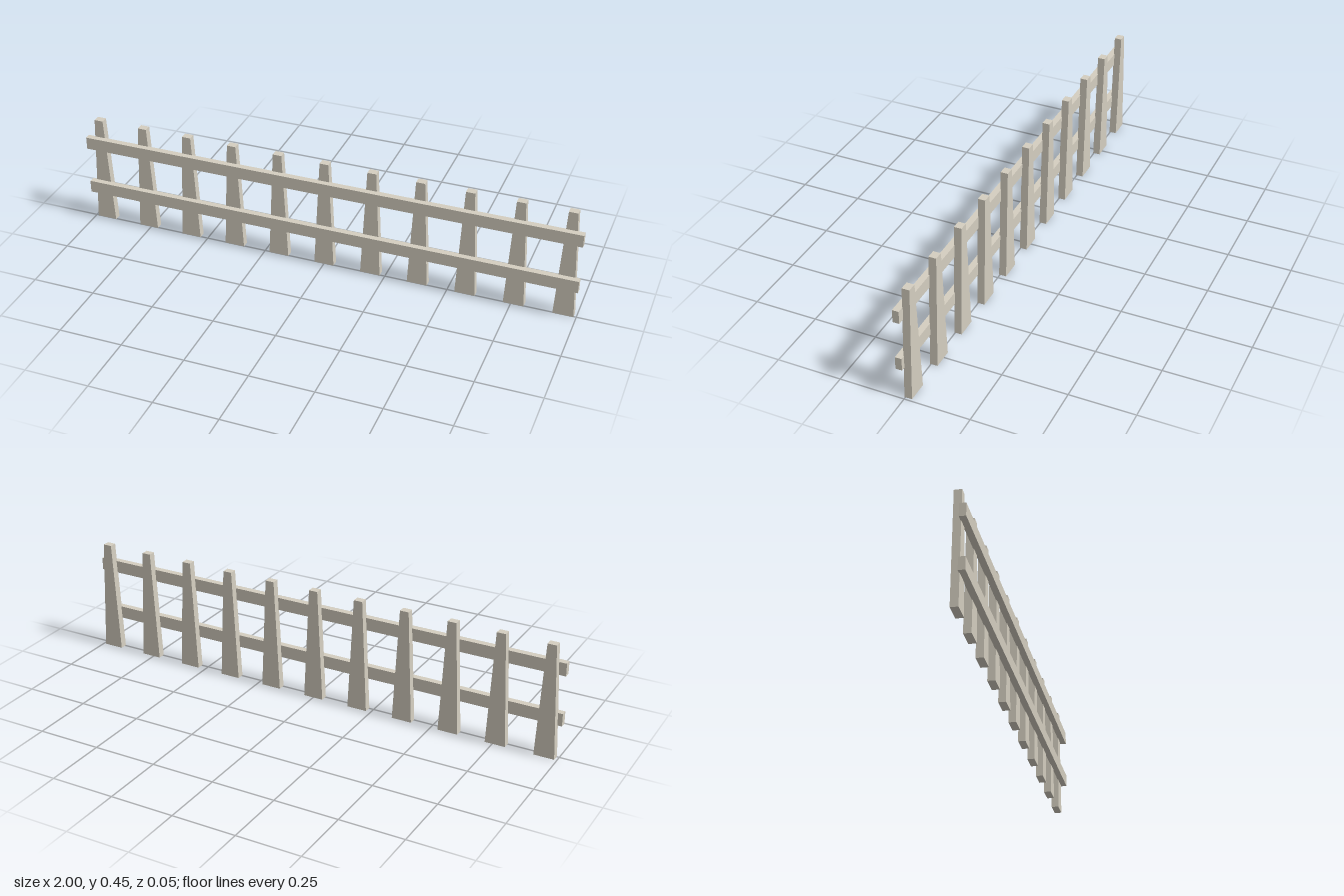
import * as THREE from 'three';

export function createModel() {
  const fence = new THREE.Group();
  fence.name = 'fence';
  const wood = new THREE.MeshStandardMaterial({ color: 0xd4cec0 });
  wood.name = 'pale weathered wood';

  // Tapered picket: wide foot, narrow flat top
  const height = 0.45, footHalf = 0.04, topHalf = 0.0175, thickness = 0.029;
  const outline = new THREE.Shape([
    new THREE.Vector2(-footHalf, 0),
    new THREE.Vector2(footHalf, 0),
    new THREE.Vector2(topHalf, height),
    new THREE.Vector2(-topHalf, height),
  ]);
  const picketGeometry = new THREE.ExtrudeGeometry(outline, { depth: thickness, bevelEnabled: false });

  // Row of evenly spaced pickets
  const count = 11, spacing = 0.19;
  for (let i = 0; i < count; i++) {
    const picket = new THREE.Mesh(picketGeometry, wood);
    picket.name = `picket${i + 1}`;
    picket.position.set((i - (count - 1) / 2) * spacing, 0, -0.0255);
    fence.add(picket);
  }

  // Two horizontal rails, let slightly into the front of the pickets
  const railGeometry = new THREE.BoxGeometry(2, 0.05, 0.025);
  for (const [name, y] of [['lowerRail', 0.151], ['upperRail', 0.351]]) {
    const rail = new THREE.Mesh(railGeometry, wood);
    rail.name = name;
    rail.position.set(0, y, 0.0135);
    fence.add(rail);
  }
  return fence;
}
